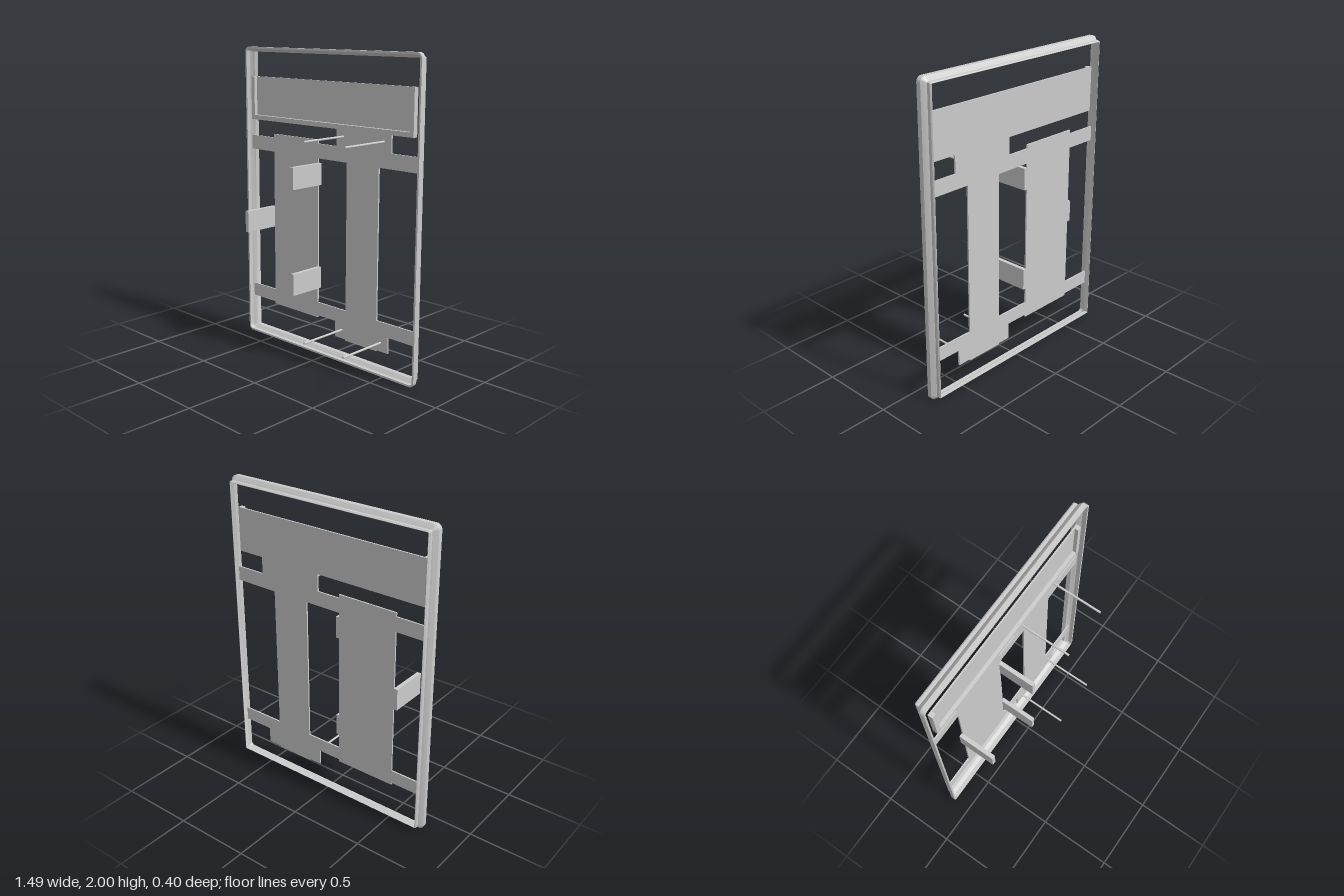
import * as THREE from 'three';
import { toCreasedNormals } from 'three/addons/utils/BufferGeometryUtils.js';

const material = new THREE.MeshStandardMaterial({ color: 0xcccccc });

function add(parent, name, geometry) {
  const mesh = new THREE.Mesh(geometry, material);
  mesh.name = name;
  parent.add(mesh);
  return mesh;
}

// Box given by its minimum and maximum on each axis
function box(parent, name, [x0, x1], [y0, y1], [z0, z1]) {
  const mesh = add(parent, name, new THREE.BoxGeometry(x1 - x0, y1 - y0, z1 - z0));
  mesh.position.set((x0 + x1) / 2, (y0 + y1) / 2, (z0 + z1) / 2);
}

// Flat sheet cut from an outline, spanning z0 to z1
function sheet(points, holes, z0, z1) {
  const toVec = ([x, y]) => new THREE.Vector2(x, y);
  const shape = new THREE.Shape(points.map(toVec));
  holes.forEach((h) => shape.holes.push(new THREE.Path(h.map(toVec))));
  const geometry = new THREE.ExtrudeGeometry(shape, { depth: z1 - z0, bevelEnabled: false });
  return geometry.translate(0, 0, z0);
}

// Closed wall profile [inset, z] swept around a rounded rectangle
function frameGeometry(profile) {
  const cx = 0.71, cy = 0.965, corner = 0.035, steps = 6;
  const ring = [];
  [[1, 1], [-1, 1], [-1, -1], [1, -1]].forEach(([sx, sy], q) => {
    for (let k = 0; k <= steps; k++) {
      const a = (q + k / steps) * Math.PI / 2;
      ring.push([sx * cx, sy * cy, Math.cos(a), Math.sin(a)]);
    }
  });
  const n = ring.length, m = profile.length;
  const positions = [], index = [];
  for (const [inset, z] of profile) {
    const r = corner - inset;
    for (const [x, y, c, s] of ring) positions.push(x + r * c, 1 + y + r * s, z);
  }
  for (let i = 0; i < m; i++) {
    for (let j = 0; j < n; j++) {
      const i2 = (i + 1) % m, j2 = (j + 1) % n;
      const a = i * n + j, b = i2 * n + j, c = i2 * n + j2, d = i * n + j2;
      index.push(a, b, d, b, c, d);
    }
  }
  const geometry = new THREE.BufferGeometry();
  geometry.setAttribute('position', new THREE.Float32BufferAttribute(positions, 3));
  geometry.setIndex(index);
  return toCreasedNormals(geometry, 0.5);
}

export function createModel() {
  const model = new THREE.Group();
  const back = -0.155, face = -0.145;

  // Thin stepped rim
  add(model, 'rim', frameGeometry([
    [0, -0.115], [0, -0.145], [0.021, -0.167], [0.025, -0.17], [0.025, -0.19], [0.031, -0.198],
    [0.033, -0.198], [0.033, -0.168], [0.012, -0.143], [0.012, -0.115],
  ]));

  // Backing plate: two crossbars and two columns around a central opening
  const outline = [
    [-0.72, 0.255], [-0.5, 0.255], [-0.5, 0.24], [-0.09, 0.24], [-0.09, 0.255],
    [0.07, 0.255], [0.07, 0.15], [0.16, 0.15], [0.16, 0.142], [0.42, 0.142], [0.42, 0.15],
    [0.515, 0.15], [0.515, 0.255], [0.72, 0.255], [0.72, 0.345], [0.42, 0.345],
    [0.42, 1.31], [0.72, 1.31], [0.72, 1.405], [0.515, 1.405], [0.515, 1.517],
    [0.07, 1.517], [0.07, 1.405], [-0.09, 1.405], [-0.09, 1.43], [-0.5, 1.43],
    [-0.5, 1.405], [-0.72, 1.405], [-0.72, 1.31], [-0.5, 1.31], [-0.5, 0.345], [-0.72, 0.345],
  ];
  const opening = [[-0.09, 0.345], [-0.09, 1.31], [0.16, 1.31], [0.16, 0.345]];
  add(model, 'backingPlate', sheet(outline, [opening], back, face));

  // Upper tray: floor and a raised lip open at the top
  const tray = new THREE.Group();
  tray.name = 'upperTray';
  model.add(tray);
  box(tray, 'trayFloor', [-0.695, 0.695], [1.517, 1.805], [back, face]);
  add(tray, 'trayLip', sheet([
    [-0.695, 1.517], [0.695, 1.517], [0.695, 1.805], [0.665, 1.805],
    [0.665, 1.547], [-0.665, 1.547], [-0.665, 1.805], [-0.695, 1.805],
  ], [], face, -0.122));

  // Tabs that grip the sides of the left column
  for (const [x, y] of [[-0.095, 1.21], [-0.095, 0.52], [-0.525, 0.865]]) {
    box(model, 'sideTab', [x, x + 0.027], [y - 0.071, y + 0.071], [back, 0.097]);
  }

  // Four thin mounting pins
  for (const x of [0.127, 0.457]) {
    for (const y of [0.208, 1.47]) {
      const pin = add(model, 'mountingPin', new THREE.CylinderGeometry(0.007, 0.007, 0.35, 16));
      pin.rotation.x = Math.PI / 2;
      pin.position.set(x, y, 0.023);
    }
  }
  return model;
}
